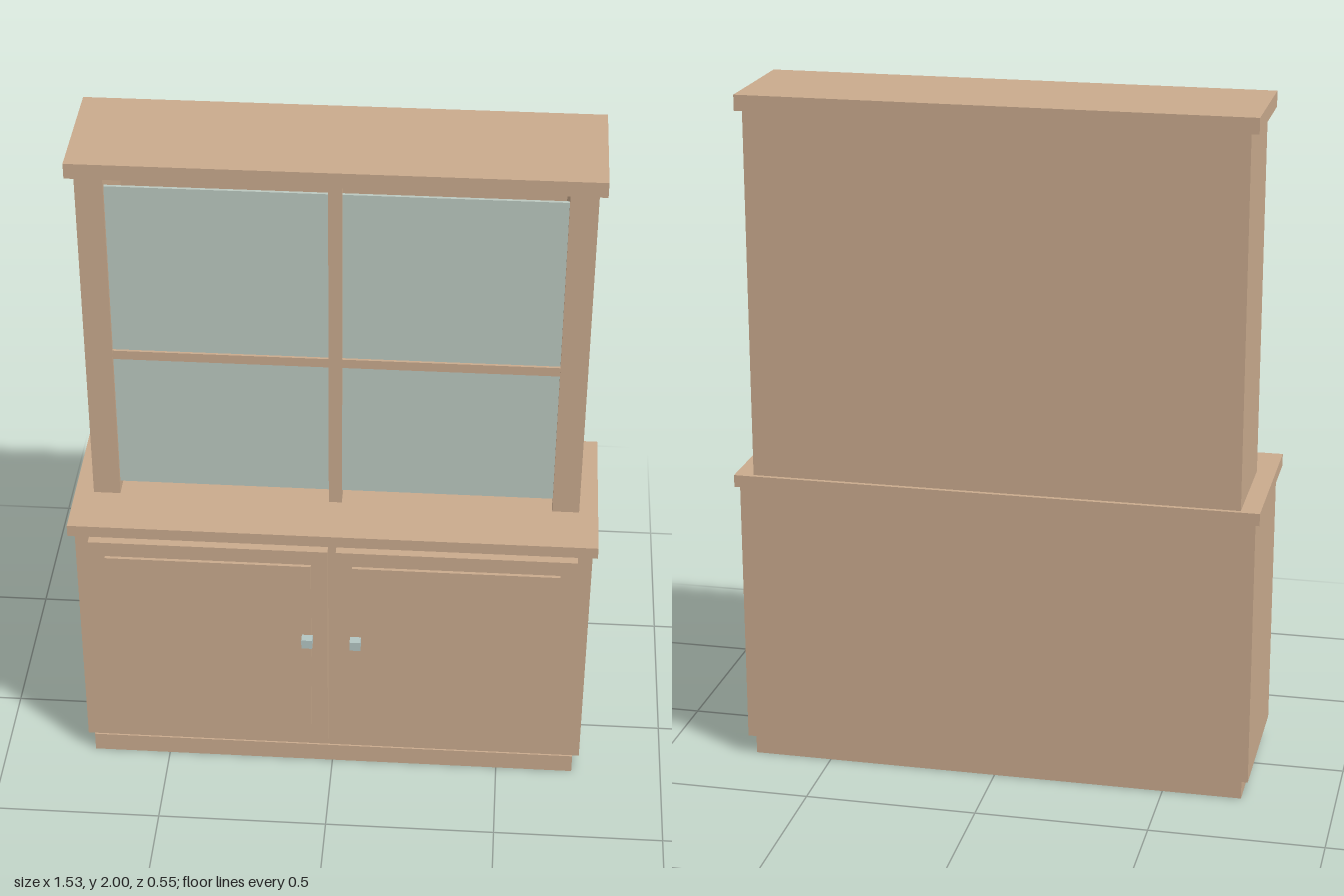
import * as THREE from 'three';

export function createModel() {
  const model = new THREE.Group();
  model.name = 'displayCabinet';

  const material = (name, color) => {
    const m = new THREE.MeshStandardMaterial({ color });
    m.name = name;
    return m;
  };
  const wood = material('lightWood', 0xc9aa8d);
  const glass = material('paleGlass', 0xbbc8c0);
  const metal = material('knobMetal', 0xb3c5c2);

  // Box given by its extents on each axis
  const box = (name, mat, [x0, x1], [y0, y1], [z0, z1]) => {
    const mesh = new THREE.Mesh(new THREE.BoxGeometry(x1 - x0, y1 - y0, z1 - z0), mat);
    mesh.position.set((x0 + x1) / 2, (y0 + y1) / 2, (z0 + z1) / 2);
    mesh.name = name;
    model.add(mesh);
  };
  // Same box on both sides of x = 0
  const pair = (name, mat, [x0, x1], y, z) => {
    box(name + 'Left', mat, [x0, x1], y, z);
    box(name + 'Right', mat, [-x1, -x0], y, z);
  };

  // Base cabinet
  box('plinth', wood, [-0.73, 0.73], [0, 0.06], [-0.245, 0.215]);
  box('baseCabinet', wood, [-0.75, 0.75], [0.06, 0.852], [-0.26, 0.21]);
  box('counter', wood, [-0.763, 0.763], [0.852, 0.888], [-0.273, 0.253]);

  // Doors with raised panels and square knobs
  pair('door', wood, [0.012, 0.708], [0.093, 0.82], [0.21, 0.238]);
  pair('doorPanel', wood, [0.06, 0.66], [0.142, 0.772], [0.238, 0.248]);
  pair('knob', metal, [0.055, 0.087], [0.488, 0.518], [0.248, 0.275]);

  // Hollow upper cabinet
  pair('upperSide', wood, [0.63, 0.708], [0.888, 1.955], [-0.26, 0.085]);
  box('upperBack', wood, [-0.63, 0.63], [0.888, 1.955], [-0.26, -0.22]);
  box('cornice', wood, [-0.73, 0.73], [1.955, 2], [-0.265, 0.112]);

  // Glazing with a centre post and crossbar, open above and below the panes
  box('centrePost', wood, [-0.019, 0.019], [0.888, 1.955], [0.045, 0.085]);
  pair('crossbar', wood, [0.019, 0.63], [1.356, 1.384], [0.045, 0.08]);
  pair('lowerPane', glass, [0.019, 0.63], [0.924, 1.356], [0.063, 0.072]);
  pair('upperPane', glass, [0.019, 0.63], [1.384, 1.912], [0.063, 0.072]);

  return model;
}
